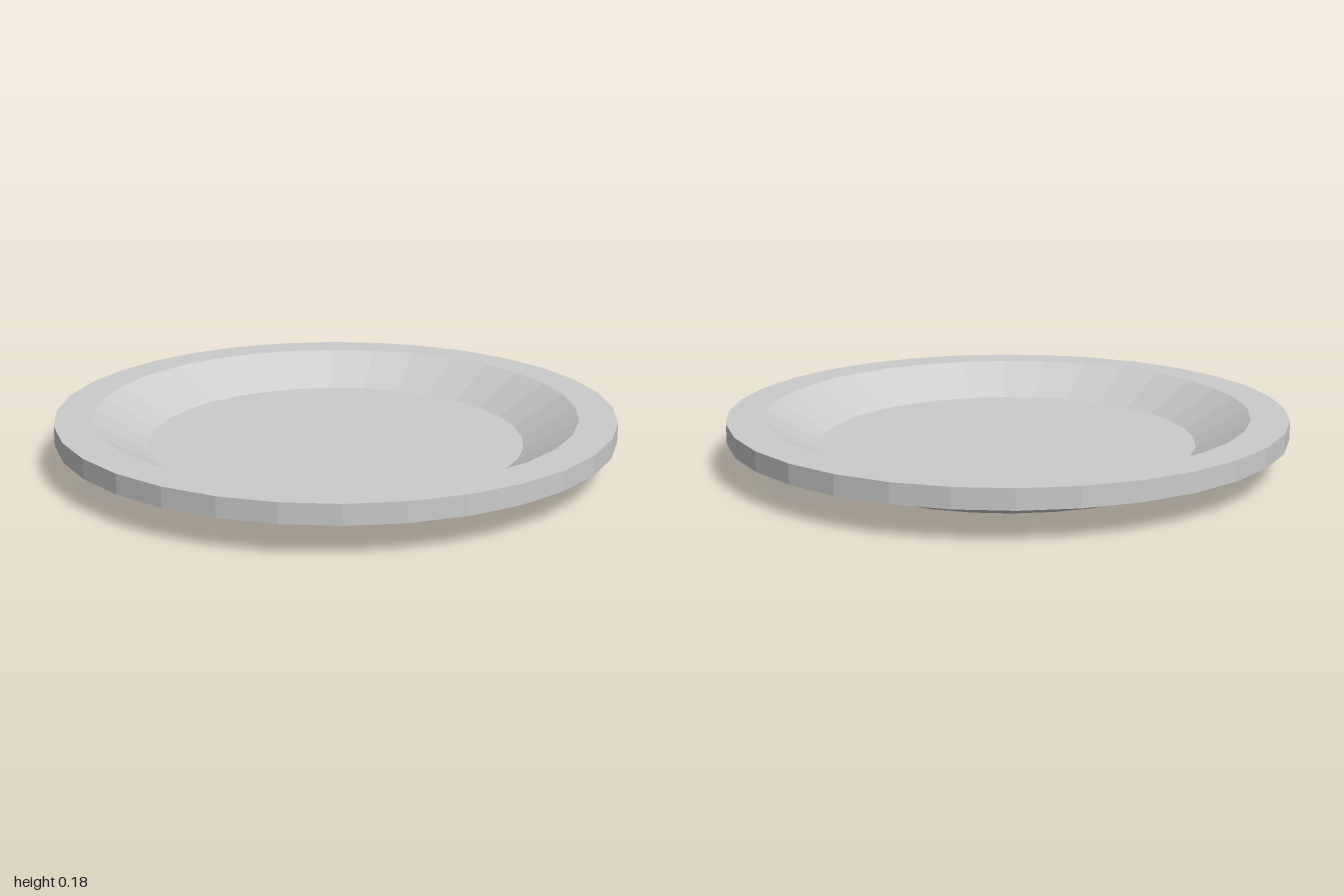
import * as THREE from 'three';

export function createModel() {
  const group = new THREE.Group();
  group.name = 'plate';
  const material = new THREE.MeshStandardMaterial({ color: 0xcccccc, flatShading: true });

  const floorRadius = 0.675, wellRadius = 0.865, rimRadius = 1;
  const thickness = 0.07, depth = 0.11, sides = 32;

  // Closed cross-section: underside from the axis outward, then back over the top
  const profile = [
    [0, 0],
    [floorRadius, 0],
    [wellRadius, depth],
    [rimRadius, depth],
    [rimRadius, depth + thickness],
    [wellRadius, depth + thickness],
    [floorRadius, thickness],
    [0, thickness],
  ].map(([r, y]) => new THREE.Vector2(r, y));

  // Dish with sloped wall and flat rim
  const dish = new THREE.Mesh(new THREE.LatheGeometry(profile, sides), material);
  dish.name = 'dish';
  group.add(dish);
  return group;
}
